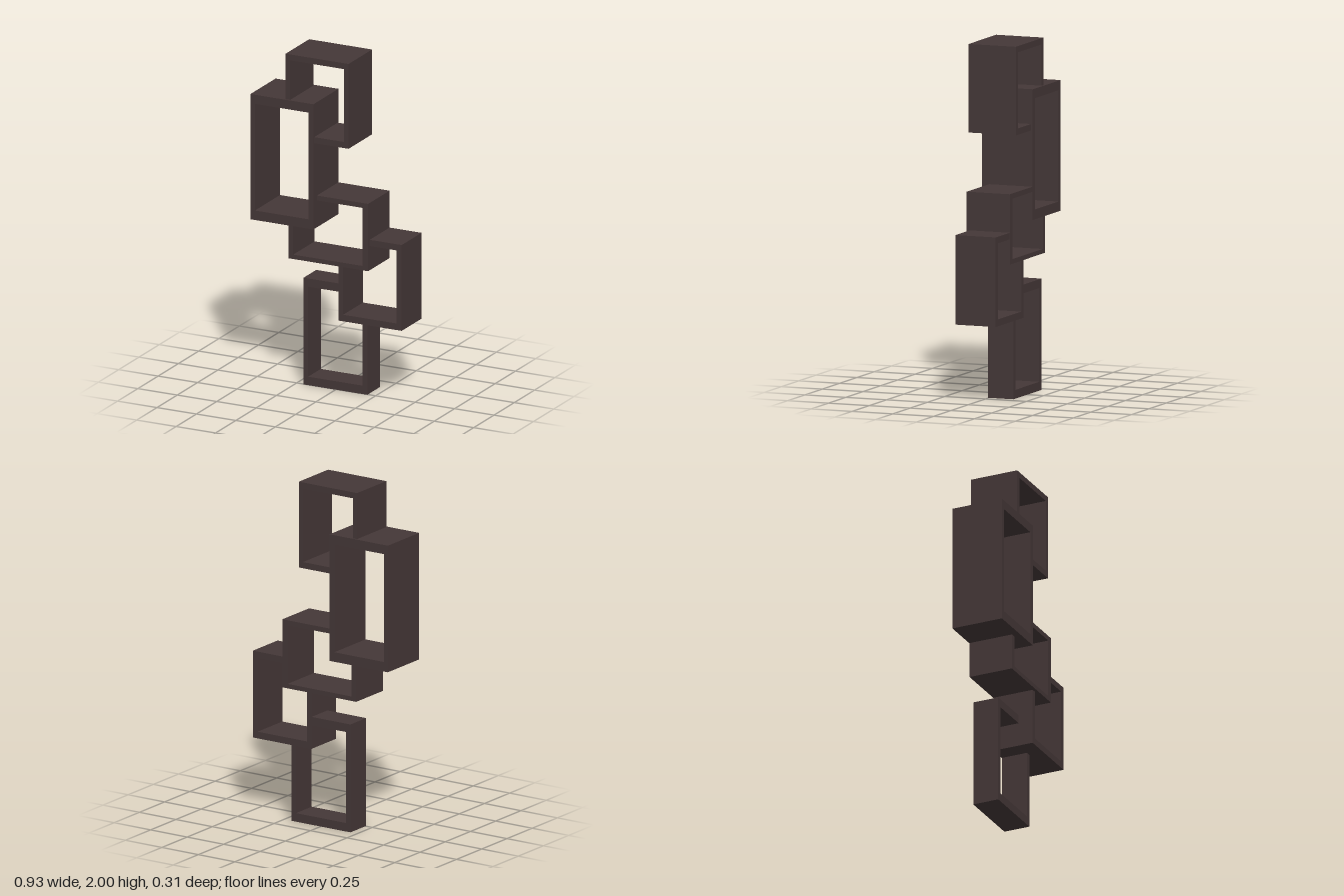
import * as THREE from 'three';

// near and far hold [x, y] of the cut corner and of the corner diagonally opposite it;
// cut holds the x and y where the frame stops against its neighbour (none = closed frame).
const FRAMES = [
  { name: 'topFrame', near: [-0.246, 1.496], far: [0.153, 2], inNear: [-0.217, 1.532], inFar: [0.125, 1.965], cut: [-0.065, 1.73], z: [-0.145, 0.145] },
  { name: 'tallFrame', near: [-0.464, 0.986], far: [-0.065, 1.73], inNear: [-0.436, 1.042], inFar: [-0.097, 1.676], z: [-0.155, 0.155] },
  { name: 'wideFrame', near: [-0.246, 1.175], far: [0.26, 0.775], inNear: [-0.215, 1.146], inFar: [0.225, 0.801], cut: [-0.065, 0.986], z: [-0.153, 0.112] },
  { name: 'sideFrame', near: [0.062, 0.956], far: [0.463, 0.446], inNear: [0.092, 0.919], inFar: [0.431, 0.485], cut: [0.26, 0.775], z: [-0.152, 0.093] },
  { name: 'bottomFrame', near: [0.2, 0.634], far: [-0.204, 0], inNear: [0.169, 0.585], inFar: [-0.175, 0.05], cut: [0.062, 0.446], z: [-0.15, 0.006] },
];

const toPoints = (list) => list.map(([x, y]) => new THREE.Vector2(x, y));
const rectangle = ([ax, ay], [bx, by]) => toPoints([[ax, ay], [bx, ay], [bx, by], [ax, by]]);

// Outline of a frame: a full ring, or a ring with one corner left out
function frameShape({ near, far, inNear, inFar, cut }) {
  if (!cut) {
    const ring = new THREE.Shape(rectangle(near, far));
    ring.holes.push(new THREE.Path(rectangle(inNear, inFar)));
    return ring;
  }
  const [nx, ny] = near, [fx, fy] = far;
  const [inx, iny] = inNear, [ifx, ify] = inFar;
  const [cx, cy] = cut;
  return new THREE.Shape(toPoints([
    [nx, cy], [nx, fy], [fx, fy], [fx, ny], [cx, ny],
    [cx, iny], [ifx, iny], [ifx, ify], [inx, ify], [inx, cy],
  ]));
}

export function createModel() {
  const group = new THREE.Group();
  group.name = 'stackedFrameShelf';
  const darkWood = new THREE.MeshStandardMaterial({ color: 0x443737 });
  darkWood.name = 'darkWood';

  // Interlocking open frames, each with its own depth
  for (const frame of FRAMES) {
    const [back, front] = frame.z;
    const geometry = new THREE.ExtrudeGeometry(frameShape(frame), { depth: front - back, bevelEnabled: false });
    geometry.translate(0, 0, back);
    const mesh = new THREE.Mesh(geometry, darkWood);
    mesh.name = frame.name;
    group.add(mesh);
  }
  return group;
}
